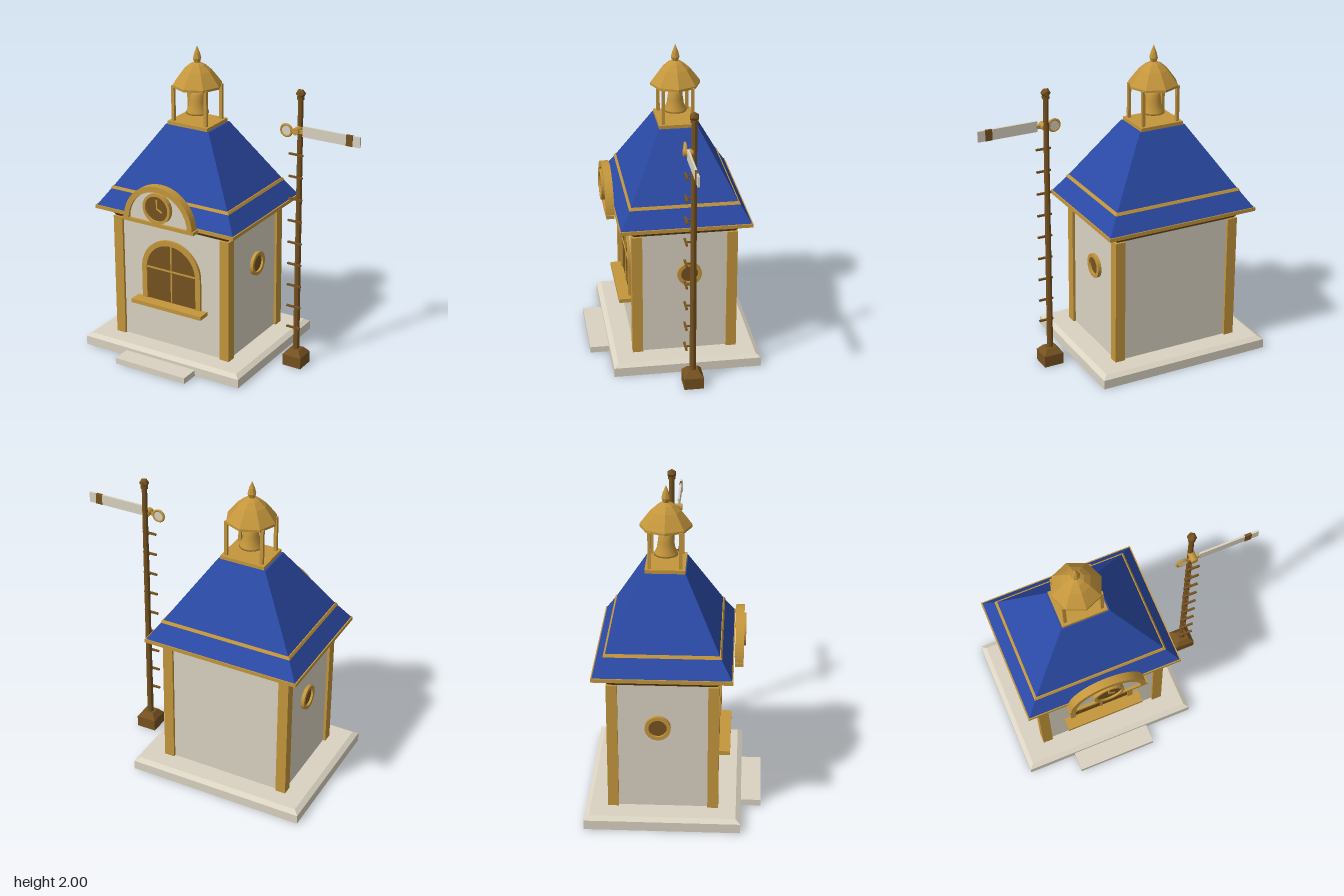
import * as THREE from 'three';

const mat = (color, flatShading = false) =>
  new THREE.MeshStandardMaterial({ color, flatShading, side: THREE.DoubleSide });
const GOLD = mat(0xc4963c), GOLD_FLAT = mat(0xc4963c, true), CREAM = mat(0xdad3c2);
const BROWN = mat(0x765220), BROWN_FLAT = mat(0x765220, true), BLUE = mat(0x2b4aa6);

function add(parent, name, geometry, material, x = 0, y = 0, z = 0) {
  const m = new THREE.Mesh(geometry, material);
  m.name = name;
  m.position.set(x, y, z);
  parent.add(m);
  return m;
}

function group(parent, name, x = 0, y = 0, z = 0) {
  const g = new THREE.Group();
  g.name = name;
  g.position.set(x, y, z);
  parent.add(g);
  return g;
}

// Box given by half width, half depth, and bottom / top heights
const slab = (hx, hz, y0, y1) =>
  new THREE.BoxGeometry(2 * hx, y1 - y0, 2 * hz).translate(0, (y0 + y1) / 2, 0);

// Box whose top has its own half width and half depth
function frustum(hx0, hz0, hx1, hz1, y0, y1) {
  const g = slab(1, 1, y0, y1), p = g.attributes.position;
  for (let i = 0; i < p.count; i++) {
    const top = p.getY(i) > (y0 + y1) / 2;
    p.setX(i, p.getX(i) * (top ? hx1 : hx0));
    p.setZ(i, p.getZ(i) * (top ? hz1 : hz0));
  }
  g.computeVertexNormals();
  return g;
}

// Arched outline: half circle of radius r standing on legs that reach down by drop
function arch(r, drop, Type = THREE.Shape) {
  const s = new Type();
  s.moveTo(r, -drop);
  s.lineTo(r, 0);
  s.absarc(0, 0, r, 0, Math.PI, false);
  s.lineTo(-r, -drop);
  s.closePath();
  return s;
}

const extrude = (shape, depth) =>
  new THREE.ExtrudeGeometry(shape, { depth, bevelEnabled: false, curveSegments: 16 });

function archRing(r, inner, drop, depth) {
  const s = arch(r, drop);
  s.holes.push(arch(inner, drop - 0.001, THREE.Path));
  return extrude(s, depth);
}

// Flat ring facing +z
function ring(r, inner, depth, n = 24) {
  const s = new THREE.Shape().absarc(0, 0, r, 0, Math.PI * 2, false);
  s.holes.push(new THREE.Path().absarc(0, 0, inner, 0, Math.PI * 2, true));
  return new THREE.ExtrudeGeometry(s, { depth, bevelEnabled: false, curveSegments: n });
}

const disc = (r, depth) =>
  new THREE.CylinderGeometry(r, r, depth, 24).rotateX(Math.PI / 2).translate(0, 0, depth / 2);

const lathe = (pts, n) =>
  new THREE.LatheGeometry(pts.map(([x, y]) => new THREE.Vector2(x, y)), n);

function buildHouse(root) {
  const h = group(root, 'house', -0.29, 0, -0.06);

  // Plinth and step
  add(h, 'plinth', slab(0.576, 0.472, 0, 0.06), CREAM);
  add(h, 'plinthBevel', frustum(0.576, 0.472, 0.546, 0.442, 0.06, 0.08), CREAM);
  add(h, 'step', slab(0.26, 0.0625, 0, 0.04), CREAM, 0, 0, 0.5325);

  // Walls and corner posts
  add(h, 'walls', slab(0.41, 0.318, 0.08, 0.92), CREAM);
  for (const sx of [-1, 1]) for (const sz of [-1, 1])
    add(h, 'cornerPost', slab(0.033, 0.033, 0.08, 0.9), GOLD, sx * 0.394, 0, sz * 0.302);

  // Cornice, eaves and hipped roof
  add(h, 'corniceCove', frustum(0.41, 0.32, 0.44, 0.35, 0.9, 0.938), BROWN);
  add(h, 'cornice', slab(0.446, 0.356, 0.935, 0.962), GOLD);
  add(h, 'eaves', slab(0.508, 0.415, 0.962, 0.985), GOLD);
  add(h, 'lowerRoof', frustum(0.5, 0.408, 0.422, 0.337, 0.985, 1.1), BLUE);
  add(h, 'roofBand', frustum(0.434, 0.348, 0.424, 0.339, 1.09, 1.106), GOLD);
  add(h, 'upperRoof', frustum(0.422, 0.337, 0.157, 0.125, 1.1, 1.5), BLUE);

  // Arched front window
  const w = group(h, 'frontWindow', 0, 0.595, 0.316);
  add(w, 'windowPane', extrude(arch(0.19, 0.22), 0.008), BROWN);
  add(w, 'windowFrame', archRing(0.217, 0.182, 0.22, 0.019), GOLD);
  add(w, 'windowMullion', new THREE.BoxGeometry(0.01, 0.4, 0.008), GOLD, 0, -0.02, 0.01);
  add(w, 'windowTransom', new THREE.BoxGeometry(0.37, 0.01, 0.008), GOLD, 0, 0.005, 0.01);
  add(w, 'windowSill', new THREE.BoxGeometry(0.52, 0.026, 0.085), GOLD, 0, -0.227, 0.042);

  // Round side windows
  for (const s of [-1, 1]) {
    const r = group(h, 'roundWindow', s * 0.408, 0.622, -0.03);
    r.rotation.y = s * Math.PI / 2;
    add(r, 'roundFrame', ring(0.078, 0.055, 0.024, 12), GOLD);
    add(r, 'roundPane', disc(0.058, 0.01), BROWN);
  }

  // Clock gable
  const c = group(h, 'clockGable', 0, 0.975, 0.42);
  add(c, 'gablePanel', extrude(arch(0.225, 0.01), 0.035), CREAM);
  add(c, 'gableArch', archRing(0.25, 0.214, 0.01, 0.052), GOLD);
  add(c, 'gableSill', new THREE.BoxGeometry(0.52, 0.022, 0.052), GOLD, 0, -0.004, 0.026);
  const k = group(c, 'clock', 0, 0.11, 0.03);
  add(k, 'clockRim', ring(0.1, 0.082, 0.034, 12), GOLD);
  add(k, 'clockFace', disc(0.086, 0.022), BROWN);
  add(k, 'minuteHand', new THREE.BoxGeometry(0.01, 0.062, 0.006), GOLD, 0, 0.028, 0.025);
  add(k, 'hourHand', new THREE.BoxGeometry(0.044, 0.01, 0.006), GOLD, 0.018, -0.01, 0.025)
    .rotation.z = -0.5;
  return h;
}

function buildBelfry(house) {
  const b = group(house, 'belfry');
  add(b, 'belfryFloor', slab(0.145, 0.12, 1.497, 1.522), GOLD);
  for (const sx of [-1, 1]) for (const sz of [-1, 1])
    add(b, 'belfryPost', slab(0.01, 0.01, 1.52, 1.75), GOLD, sx * 0.118, 0, sz * 0.092);

  // Eight-sided cap with finial
  add(b, 'belfryCap', lathe([[0, 1.742], [0.157, 1.742], [0.157, 1.757], [0.125, 1.8],
    [0.09, 1.845], [0.05, 1.88], [0.02, 1.895], [0, 1.895]], 8), GOLD_FLAT);
  add(b, 'finial', lathe([[0, 1.88], [0.016, 1.885], [0.027, 1.92], [0.018, 1.955], [0, 2]], 8), GOLD_FLAT);

  // Bell on its beam
  add(b, 'bellBeam', slab(0.06, 0.02, 1.718, 1.737), BROWN);
  add(b, 'bellHanger', new THREE.CylinderGeometry(0.012, 0.012, 0.03, 8), BROWN, 0, 1.71, 0);
  add(b, 'bell', lathe([[0, 1.71], [0.032, 1.708], [0.044, 1.69], [0.049, 1.65], [0.055, 1.61],
    [0.07, 1.58], [0.073, 1.568], [0.06, 1.572], [0.035, 1.66], [0, 1.69]], 16), GOLD);
  add(b, 'clapper', new THREE.SphereGeometry(0.014, 10, 8), BROWN, 0, 1.568, 0);
}

function buildSignal(root) {
  const s = group(root, 'signal', 0.435, 0, -0.065);

  // Post on its footing
  add(s, 'footing', slab(0.065, 0.062, 0, 0.075), BROWN);
  add(s, 'footingTaper', frustum(0.065, 0.062, 0.035, 0.034, 0.075, 0.11), BROWN);
  add(s, 'post', new THREE.CylinderGeometry(0.017, 0.021, 1.69, 8), BROWN_FLAT, 0, 0.945, 0);
  add(s, 'postCollar', new THREE.CylinderGeometry(0.024, 0.024, 0.016, 8), BROWN_FLAT, 0, 1.785, 0);
  add(s, 'postBall', new THREE.IcosahedronGeometry(0.031, 0), BROWN_FLAT, 0, 1.812, 0);

  // Climbing rungs
  for (let i = 0; i < 9; i++) {
    add(s, 'rung', new THREE.BoxGeometry(0.095, 0.011, 0.013), BROWN, 0, 0.277 + i * 0.1453, 0.047);
    add(s, 'rungBracket', new THREE.BoxGeometry(0.01, 0.009, 0.045), BROWN, 0, 0.277 + i * 0.1453, 0.025);
  }

  // Arm, stripe, pivot and lens
  const a = group(s, 'signalArm', 0, 1.59, 0.042);
  add(a, 'armBlade', new THREE.BoxGeometry(0.382, 0.067, 0.012), CREAM, 0.231, 0.003, 0);
  add(a, 'armStripe', new THREE.BoxGeometry(0.044, 0.068, 0.016), BROWN, 0.353, 0.003, 0);
  add(a, 'armLink', new THREE.BoxGeometry(0.09, 0.022, 0.012), GOLD, 0.0, -0.003, 0);
  add(a, 'armPivot', new THREE.CylinderGeometry(0.022, 0.022, 0.06, 10).rotateX(Math.PI / 2), GOLD, 0, 0, -0.005);
  add(a, 'lensRim', new THREE.TorusGeometry(0.036, 0.008, 8, 20), GOLD, -0.071, -0.008, 0);
  add(a, 'lens', disc(0.034, 0.006), CREAM, -0.071, -0.008, -0.003);
}

export function createModel() {
  const root = new THREE.Group();
  root.name = 'clockHouseWithSignal';
  buildBelfry(buildHouse(root));
  buildSignal(root);
  return root;
}
